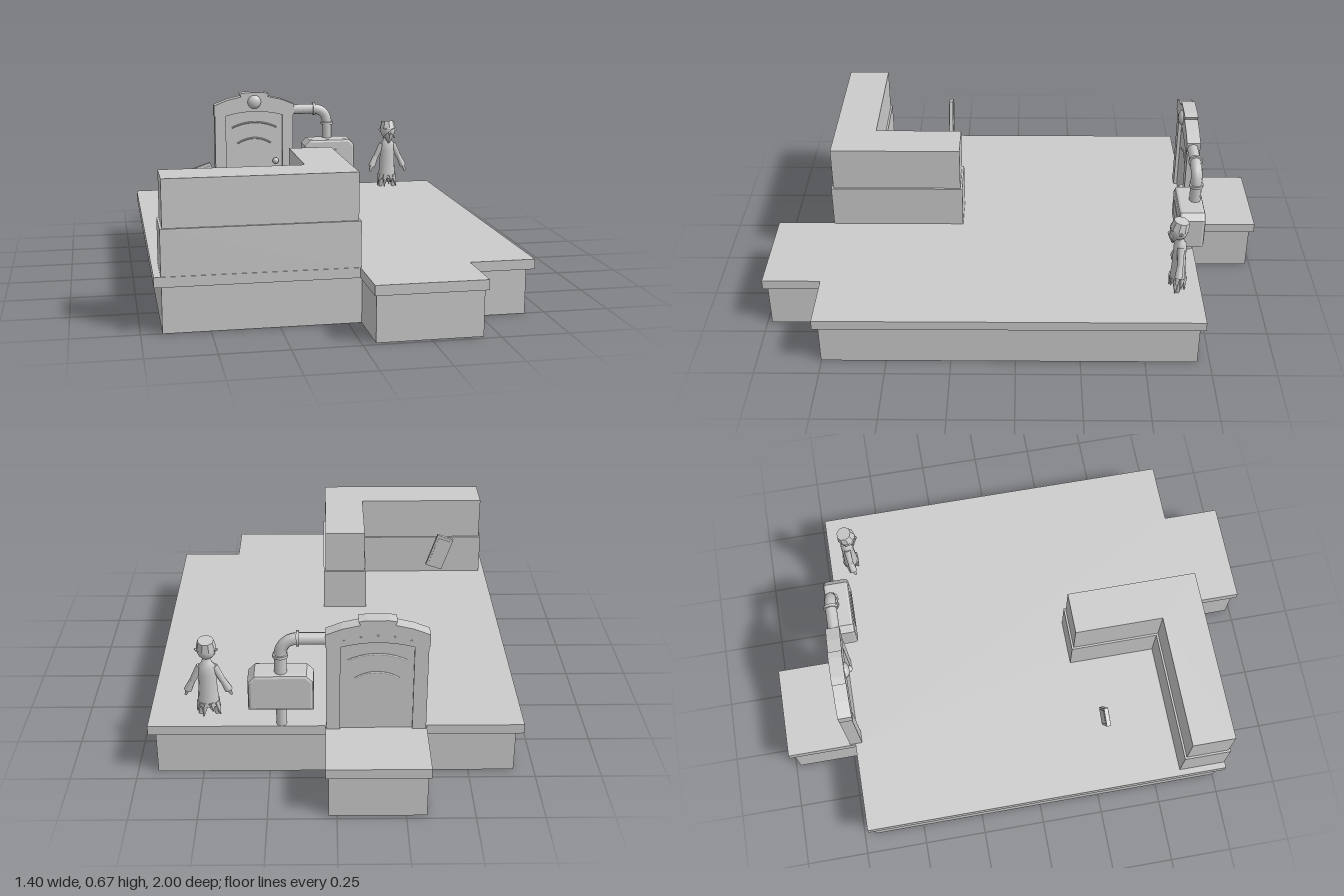
import * as THREE from 'three';

const mat = new THREE.MeshStandardMaterial({ color: 0xcccccc, side: THREE.DoubleSide });
const flat = new THREE.MeshStandardMaterial({ color: 0xcccccc, side: THREE.DoubleSide, flatShading: true });

function add(parent, name, geo, x = 0, y = 0, z = 0, material = flat) {
  const m = new THREE.Mesh(geo, material);
  m.name = name;
  m.position.set(x, y, z);
  parent.add(m);
  return m;
}
// Box given by its lower and upper limits
function block(parent, name, x0, x1, y0, y1, z0, z1) {
  return add(parent, name, new THREE.BoxGeometry(x1 - x0, y1 - y0, z1 - z0), (x0 + x1) / 2, (y0 + y1) / 2, (z0 + z1) / 2);
}
const shapeOf = (pts) => new THREE.Shape(pts.map(([x, y]) => new THREE.Vector2(x, y)));
// Shape in plan from [x, z] points, to be laid flat
const planShape = (pts) => shapeOf(pts.map(([x, z]) => [x, -z]));
// Prism standing on y0 from a plan shape
function prism(parent, name, shape, y0, y1) {
  const geo = new THREE.ExtrudeGeometry(shape, { depth: y1 - y0, bevelEnabled: false });
  return add(parent, name, geo.rotateX(-Math.PI / 2), 0, y0, 0);
}
// Cylinder or cone between two points
function rod(parent, name, a, b, ra, rb, sides = 8, material = mat) {
  const p = new THREE.Vector3(...a), q = new THREE.Vector3(...b), d = q.clone().sub(p);
  const m = add(parent, name, new THREE.CylinderGeometry(rb, ra, d.length(), sides), 0, 0, 0, material);
  m.position.copy(p).lerp(q, 0.5);
  m.quaternion.setFromUnitVectors(new THREE.Vector3(0, 1, 0), d.normalize());
  return m;
}

// Floor plan with a rear and a front landing; insets for main sides, ends and landing sides
const plan = (i, j, k) => [
  [-0.7 + i, 0.77 - j], [0.04 + k, 0.77 - j], [0.04 + k, 1 - j], [0.45 - k, 1 - j], [0.45 - k, 0.77 - j], [0.7 - i, 0.77 - j],
  [0.7 - i, -0.72 + j], [0.04 - k, -0.72 + j], [0.04 - k, -1 + j], [-0.335 + k, -1 + j], [-0.335 + k, -0.72 + j], [-0.7 + i, -0.72 + j],
];

function buildPlatform() {
  const g = new THREE.Group();
  g.name = 'platform';
  const skirt = plan(0.027, 0.018, 0.01);
  // Thin floor on a projecting rim, hollow underneath
  prism(g, 'floor', planShape(plan(0, 0, 0)), 0.211, 0.213);
  const rim = planShape(plan(0, 0, 0));
  rim.holes.push(planShape(skirt));
  prism(g, 'floorRim', rim, 0.175, 0.211);
  // Skirt: one thin wall per side of the plan
  skirt.forEach(([x, z], k) => {
    const [x2, z2] = skirt[(k + 1) % skirt.length];
    const wall = add(g, 'skirtWall', new THREE.PlaneGeometry(Math.hypot(x2 - x, z2 - z), 0.175), (x + x2) / 2, 0.0875, (z + z2) / 2);
    wall.rotation.y = Math.atan2(z - z2, x2 - x);
  });
  return g;
}

function buildCounter() {
  const g = new THREE.Group();
  g.name = 'counter';
  const ell = (i) => planShape([
    [-0.675 + i, 0.767 - i], [0.044 - i, 0.767 - i], [0.044 - i, 0.225 + i],
    [-0.14 + i, 0.225 + i], [-0.14 + i, 0.58 + i], [-0.675 + i, 0.58 + i],
  ]);
  prism(g, 'lowerCounter', ell(0), 0.208, 0.385);
  prism(g, 'upperCounter', ell(0.008), 0.385, 0.562);
  return g;
}

function buildTablet() {
  const g = new THREE.Group();
  g.name = 'tablet';
  block(g, 'tabletBody', -0.036, 0.036, -0.074, 0.074, -0.008, 0.008);
  block(g, 'tabletFace', -0.028, 0.028, -0.062, 0.062, -0.01, 0.01);
  g.position.set(-0.46, 0.446, 0.293);
  g.rotation.z = 0.33;
  return g;
}

function buildDoor() {
  const g = new THREE.Group();
  g.name = 'door';
  g.position.x = -0.147;
  // Posts, leaf and stepped header with an arched underside
  for (const s of [-1, 1]) {
    const e = [s * 0.133, s * 0.184].sort((a, b) => a - b);
    block(g, 'doorPost', e[0], e[1], 0.213, 0.58, -0.742, -0.692);
  }
  block(g, 'doorLeaf', -0.135, 0.135, 0.213, 0.6, -0.732, -0.706);
  const s = shapeOf([[0.188, 0.558], [0.188, 0.608], [0.128, 0.632], [0.062, 0.647], [0.069, 0.661], [0.04, 0.666],
    [-0.04, 0.666], [-0.069, 0.661], [-0.062, 0.647], [-0.128, 0.632], [-0.188, 0.608], [-0.188, 0.558], [-0.135, 0.558]]);
  s.quadraticCurveTo(0, 0.596, 0.135, 0.558);
  add(g, 'header', new THREE.ExtrudeGeometry(s, { depth: 0.055, bevelEnabled: false, curveSegments: 8 }), 0, 0, -0.742);
  // Round boss on the header
  const boss = add(g, 'boss', new THREE.SphereGeometry(0.032, 12, 8), 0, 0.622, -0.688, mat);
  boss.scale.z = 0.6;
  // Curved trim on both faces
  for (const z of [-0.706, -0.732]) {
    for (const [y, w] of [[0.5, 0.105], [0.425, 0.08]]) {
      const arc = new THREE.QuadraticBezierCurve3(new THREE.Vector3(-w, y, z), new THREE.Vector3(0, y + 0.05, z), new THREE.Vector3(w, y, z));
      add(g, 'doorTrim', new THREE.TubeGeometry(arc, 10, 0.004, 5), 0, 0, 0, mat);
    }
  }
  add(g, 'doorKnob', new THREE.SphereGeometry(0.015, 10, 8), 0.1, 0.34, -0.694, mat);
  for (let k = -2; k <= 2; k++) {
    const rivet = add(g, 'rivet', new THREE.SphereGeometry(0.004, 6, 4), k * 0.06, 0.605 - 0.005 * k * k, -0.742, mat);
    rivet.scale.z = 0.4;
  }
  return g;
}

function buildPipeAndBox() {
  const g = new THREE.Group();
  g.name = 'pipeAndBox';
  const z = -0.712, v = (x, y) => new THREE.Vector3(x, y, z);
  // Pipe runs out of the door, bends and drops into the box
  const path = new THREE.CurvePath();
  path.add(new THREE.LineCurve3(v(0.03, 0.58), v(0.135, 0.58)));
  path.add(new THREE.CubicBezierCurve3(v(0.135, 0.58), v(0.175, 0.58), v(0.202, 0.553), v(0.202, 0.512)));
  path.add(new THREE.LineCurve3(v(0.202, 0.512), v(0.202, 0.42)));
  add(g, 'pipe', new THREE.TubeGeometry(path, 36, 0.023, 8), 0, 0, 0, mat);
  rod(g, 'collar', [0.133, 0.58, z], [0.144, 0.58, z], 0.029, 0.029, 12);
  rod(g, 'collar', [0.202, 0.506, z], [0.202, 0.517, z], 0.029, 0.029, 12);
  rod(g, 'boxPost', [0.202, 0.21, -0.70], [0.202, 0.31, -0.70], 0.02, 0.02, 8);
  // Box with cut upper corners and bevelled edges
  const b = 0.012;
  const body = shapeOf([[-0.108, 0.307], [0.108, 0.307], [0.108, 0.412], [0.09, 0.43], [-0.09, 0.43], [-0.108, 0.412]]);
  add(g, 'boxBody', new THREE.ExtrudeGeometry(body, { depth: 0.08, bevelThickness: b, bevelSize: b, bevelSegments: 2 }), 0.202, 0, -0.733);
  block(g, 'boxWindow', 0.132, 0.272, 0.342, 0.395, -0.645, -0.639);
  return g;
}

function buildFigure() {
  const g = new THREE.Group();
  g.name = 'figure';
  // Robe
  const profile = [[0.014, 0.455], [0.02, 0.435], [0.033, 0.42], [0.034, 0.385], [0.035, 0.34], [0.038, 0.295], [0.042, 0.255]];
  const robe = add(g, 'robe', new THREE.LatheGeometry(profile.map(([r, y]) => new THREE.Vector2(r, y)), 12), 0, 0, 0, mat);
  robe.scale.z = 0.75;
  // Ragged hem points
  for (let k = 0; k < 8; k++) {
    const a = (k + 0.5) * Math.PI / 4, c = Math.cos(a), s = Math.sin(a);
    rod(g, 'hemPoint', [c * 0.029, 0.27, s * 0.021], [c * 0.047, 0.215 + 0.02 * (k % 2), s * 0.03], 0.017, 0.001, 5, flat);
  }
  for (const s of [-1, 1]) {
    // Legs, sleeves and hands
    rod(g, 'leg', [s * 0.02, 0.29, 0], [s * 0.031, 0.213, 0], 0.018, 0.008, 6);
    rod(g, 'upperArm', [s * 0.026, 0.418, 0], [s * 0.056, 0.355, 0.002], 0.014, 0.012);
    rod(g, 'sleeve', [s * 0.056, 0.357, 0.002], [s * 0.076, 0.312, 0.008], 0.012, 0.016);
    rod(g, 'hand', [s * 0.075, 0.318, 0.008], [s * 0.086, 0.287, 0.014], 0.01, 0.005, 6);
    // Ears, brows and moustache
    rod(g, 'ear', [s * 0.028, 0.482, 0.006], [s * 0.042, 0.488, 0.002], 0.01, 0.004, 6);
    rod(g, 'brow', [s * 0.004, 0.489, 0.04], [s * 0.024, 0.497, 0.034], 0.005, 0.003, 5);
    rod(g, 'moustache', [s * 0.002, 0.469, 0.041], [s * 0.03, 0.45, 0.03], 0.008, 0.002, 5);
  }
  // Head, hair, nose and beard
  const head = add(g, 'head', new THREE.SphereGeometry(0.035, 14, 10), 0, 0.483, 0.009, mat);
  head.scale.y = 1.1;
  const hair = add(g, 'hair', new THREE.CylinderGeometry(0.03, 0.038, 0.034, 9), 0, 0.508, 0.005);
  hair.rotation.x = -0.2;
  rod(g, 'nose', [0, 0.478, 0.038], [0, 0.47, 0.05], 0.006, 0.004, 6);
  rod(g, 'beard', [0, 0.46, 0.026], [0, 0.425, 0.03], 0.024, 0.004, 6, flat);
  g.position.set(0.477, 0, -0.627);
  return g;
}

export function createModel() {
  const model = new THREE.Group();
  model.name = 'shopDiorama';
  model.add(buildPlatform(), buildCounter(), buildTablet(), buildDoor(), buildPipeAndBox(), buildFigure());
  return model;
}
